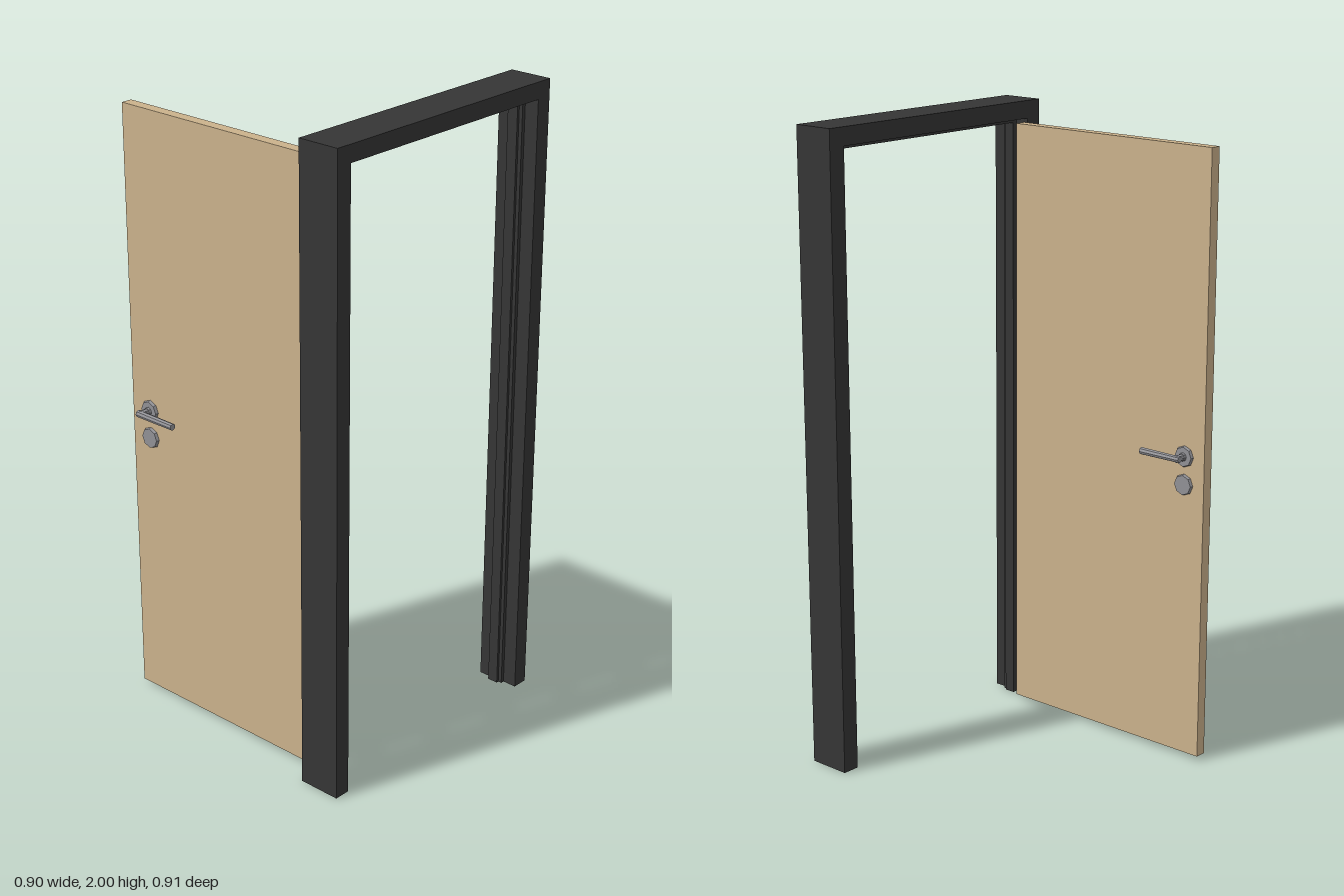
import * as THREE from 'three';

export function createModel() {
  const model = new THREE.Group();
  model.name = 'openDoor';
  const mat = (name, color, flatShading = false) => {
    const m = new THREE.MeshStandardMaterial({ color, flatShading });
    m.name = name;
    return m;
  };
  const dark = mat('charcoalFrame', 0x353535);
  const wood = mat('lightWood', 0xcbb28c);
  const metal = mat('greyMetal', 0x919196, true);
  const add = (parent, name, geometry, material) => {
    const mesh = new THREE.Mesh(geometry, material);
    mesh.name = name;
    parent.add(mesh);
    return mesh;
  };

  // Door frame: upside-down U layers along x, forming the rebate, stop and seal steps
  const frame = new THREE.Group();
  frame.name = 'frame';
  model.add(frame);
  const half = 0.453, top = 2;
  const layers = [
    ['rebate', 0.31, 0.355, 0.056],
    ['stop', 0.355, 0.39, 0.072],
    ['seal', 0.39, 0.402, 0.064],
    ['casing', 0.402, 0.448, 0.052],
  ];
  for (const [name, x0, x1, d] of layers) {
    const i = half - d, h = top - d;
    const u = new THREE.Shape([
      [-half, 0], [-i, 0], [-i, h], [i, h], [i, 0], [half, 0], [half, top], [-half, top],
    ].map(([z, y]) => new THREE.Vector2(z, y)));
    const g = new THREE.ExtrudeGeometry(u, { depth: x1 - x0, bevelEnabled: false });
    g.rotateY(Math.PI / 2).translate(x0, 0, 0);
    add(frame, name, g, dark);
  }

  // Door leaf, swung open at right angles to the frame
  const leafZ = 0.3665, leafT = 0.036;
  add(model, 'doorLeaf', new THREE.BoxGeometry(0.762, 1.918, leafT), wood)
    .position.set(-0.069, 0.974, leafZ);

  // Handle sets on both faces, each built outward along +z and mirrored by rotation
  const disc = (r0, r1, depth) =>
    new THREE.CylinderGeometry(r1, r0, depth, 8).rotateX(Math.PI / 2).translate(0, 0, depth / 2);

  for (const side of [1, -1]) {
    const set = new THREE.Group();
    set.name = side > 0 ? 'frontHandle' : 'backHandle';
    set.position.set(-0.375, 0, leafZ + side * leafT / 2);
    if (side < 0) set.rotation.y = Math.PI;
    model.add(set);

    // Round plates behind the lever and over the lock
    for (const [name, y] of [['leverPlate', 0.985], ['lockPlate', 0.895]]) {
      add(set, name, disc(0.034, 0.031, 0.009), metal).position.y = y;
    }
    add(set, 'collar', disc(0.016, 0.012, 0.016), metal).position.y = 0.985;

    // Neck and lever, pointing towards the hinges
    add(set, 'neck', disc(0.010, 0.012, 0.042), metal).position.y = 0.985;
    const lever = new THREE.CylinderGeometry(0.0105, 0.0115, 0.149, 8)
      .rotateZ(-Math.PI / 2).translate(0.0625 * side, 0, 0.0395);
    if (side < 0) lever.rotateX(0);
    add(set, 'lever', lever, metal).position.y = 0.985;
  }
  return model;
}
